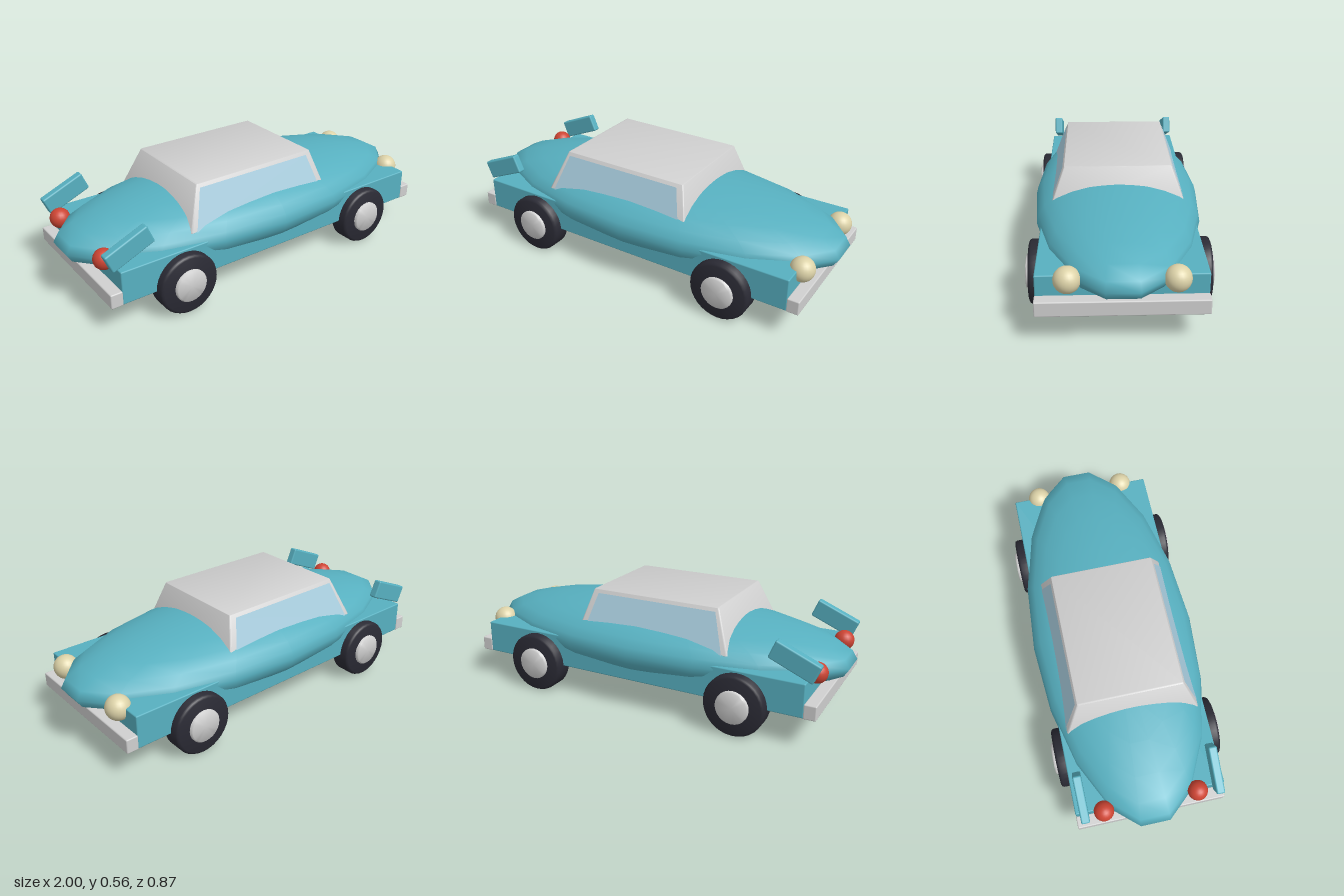
import * as THREE from 'three';
import { toCreasedNormals } from 'three/addons/utils/BufferGeometryUtils.js';
import { RoundedBoxGeometry } from 'three/addons/geometries/RoundedBoxGeometry.js';

const paint = (name, color, side = THREE.FrontSide) =>
  Object.assign(new THREE.MeshStandardMaterial({ color, side }), { name });

export function createModel() {
  const teal = paint('teal paint', 0x57b0c0);
  const silver = paint('silver trim', 0xcfcfcf);
  const glassBlue = paint('window blue', 0xaacfe0, THREE.DoubleSide);
  const rubber = paint('dark rubber', 0x2a2a34);
  const cream = paint('lamp cream', 0xdcd2a8);
  const red = paint('tail lamp red', 0xcc4433);

  const car = new THREE.Group();
  car.name = 'car';
  const add = (name, geometry, material, x = 0, y = 0, z = 0) => {
    const mesh = new THREE.Mesh(geometry, material);
    mesh.name = name;
    mesh.position.set(x, y, z);
    car.add(mesh);
    return mesh;
  };

  // Streamlined hull; the 18 sides give it blunt ends
  const hull = new THREE.SphereGeometry(1, 18, 14);
  hull.rotateY(Math.PI / 2);
  hull.scale(1.015, 0.185, 0.422);
  add('hull', hull, teal, 0, 0.3, 0);

  // Straight chassis block with flat fenders
  add('chassis', new RoundedBoxGeometry(1.765, 0.166, 0.746, 2, 0.006), teal, 0, 0.236, 0);

  // Cabin: a box that leans in on every side towards the roof
  const base = 0.36, roof = 0.564;
  const mix = THREE.MathUtils.lerp;
  const rearX = t => mix(-0.497, -0.415, t);
  const frontX = t => mix(0.328, 0.27, t);
  const halfZ = t => mix(0.336, 0.26, t);
  const cabin = new RoundedBoxGeometry(1, 1, 1, 2, 0.012);
  const p = cabin.attributes.position;
  for (let i = 0; i < p.count; i++) {
    const t = p.getY(i) + 0.5;
    p.setXYZ(i, mix(rearX(t), frontX(t), p.getX(i) + 0.5), mix(base, roof, t), p.getZ(i) * 2 * halfZ(t));
  }
  add('cabin', toCreasedNormals(cabin, 0.6), silver);

  // Side windows follow the slope of the cabin
  for (const side of [1, -1]) {
    const t = 0.91;
    const corners = [[rearX(0) + 0.03, 0], [frontX(0) - 0.035, 0], [frontX(t) - 0.035, t], [rearX(t) + 0.02, t]];
    const points = corners.map(([x, h]) => new THREE.Vector3(x, mix(base, roof, h), side * (halfZ(h) + 0.003)));
    const order = side > 0 ? [0, 1, 2, 0, 2, 3] : [0, 2, 1, 0, 3, 2];
    const pane = new THREE.BufferGeometry().setFromPoints(order.map(i => points[i]));
    pane.computeVertexNormals();
    add(side > 0 ? 'leftWindow' : 'rightWindow', pane, glassBlue);
  }

  // Bumpers
  for (const end of [1, -1])
    add(end > 0 ? 'frontBumper' : 'rearBumper',
      new RoundedBoxGeometry(0.06, 0.072, 0.75, 2, 0.006), silver, end * 0.91, 0.188, 0);

  // Tyre profile with rounded shoulders, turned about the axle
  const tyreProfile = [[0, -0.053], [0.138, -0.053], [0.147, -0.049], [0.152, -0.04],
    [0.152, 0.04], [0.147, 0.049], [0.138, 0.053], [0, 0.053]].map(a => new THREE.Vector2(...a));
  const tyre = toCreasedNormals(new THREE.LatheGeometry(tyreProfile, 32).rotateX(Math.PI / 2), 0.7);
  const hubProfile = [[0.082, -0.02], [0.082, 0.012], [0.076, 0.018], [0, 0.018]].map(a => new THREE.Vector2(...a));
  const hub = toCreasedNormals(new THREE.LatheGeometry(hubProfile, 24).rotateX(Math.PI / 2), 0.9);

  for (const side of [1, -1]) {
    // Wheels
    for (const x of [-0.562, 0.558]) {
      add('tyre', tyre, rubber, x, 0.156, side * 0.366);
      const cap = add('hubcap', hub, silver, x, 0.156, side * 0.417);
      if (side < 0) cap.rotation.y = Math.PI;
    }
    // Lamps
    add('headlight', new THREE.SphereGeometry(0.06, 24, 16), cream, 0.887, 0.302, side * 0.234);
    add('tailLight', new THREE.SphereGeometry(0.05, 20, 14), red, -0.893, 0.325, side * 0.234);
    // Raised tail fins
    const fin = add('tailFin', new RoundedBoxGeometry(0.232, 0.095, 0.042, 2, 0.008), teal, -0.817, 0.4, side * 0.33);
    fin.rotation.z = 0.4;
  }
  return car;
}
